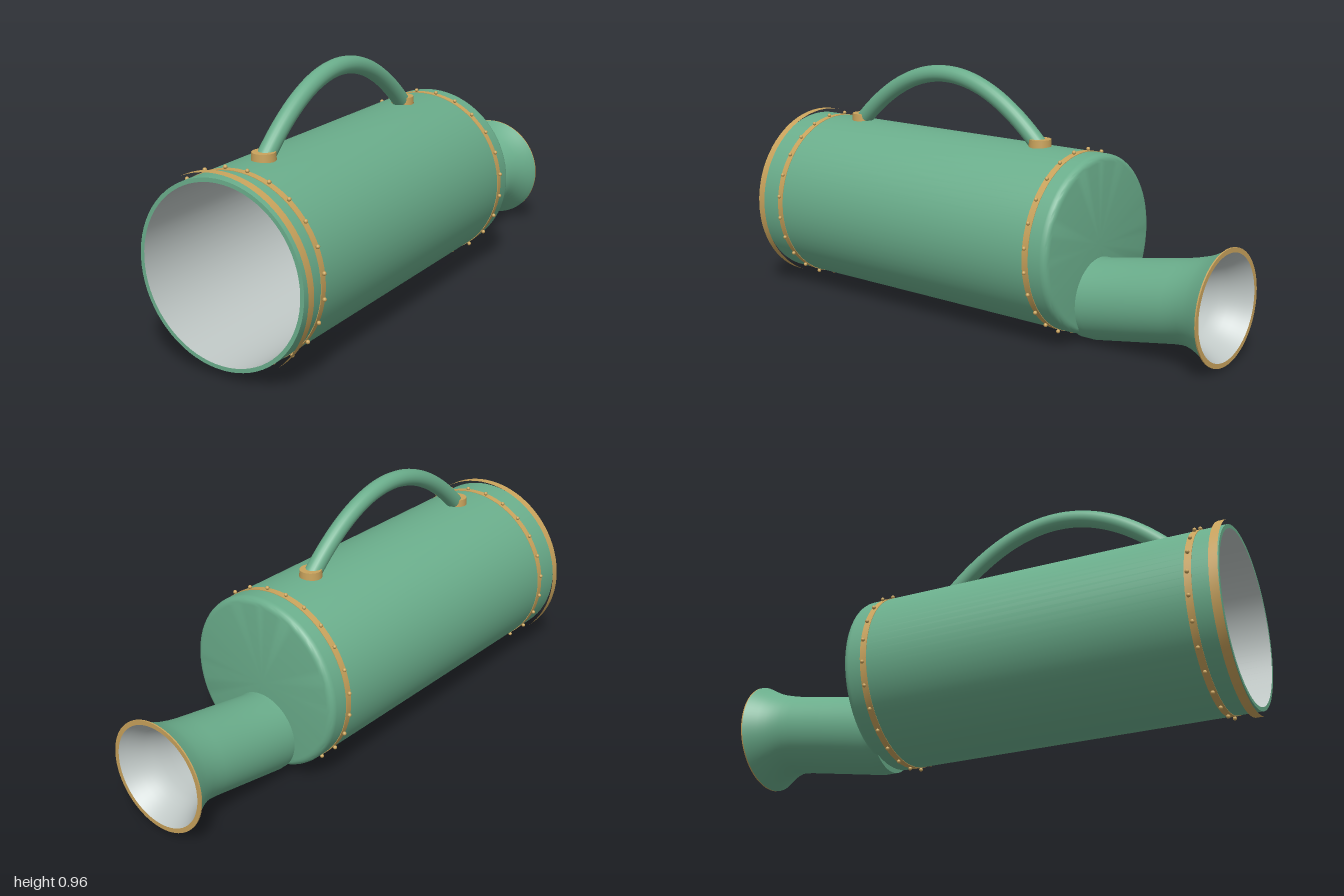
import * as THREE from 'three';
import { toCreasedNormals } from 'three/addons/utils/BufferGeometryUtils.js';

const green = new THREE.MeshStandardMaterial({ name: 'greenEnamel', color: 0x6aad8b });
const brass = new THREE.MeshStandardMaterial({ name: 'brass', color: 0xc9a35c });
const lining = new THREE.MeshStandardMaterial({ name: 'greyLining', color: 0xc0c8c6 });

const AXIS_Y = 0.36; // height of the body axis
const BODY_R = 0.337;
const BACK = -0.465;

// Lathe around the z axis from [radius, z] pairs; lift(z) gives the axis height
function turned(profile, lift = () => AXIS_Y, segments = 72) {
  const geo = new THREE.LatheGeometry(profile.map(([r, z]) => new THREE.Vector2(r, z)), segments);
  geo.rotateX(Math.PI / 2);
  const p = geo.attributes.position;
  for (let i = 0; i < p.count; i++) p.setY(i, p.getY(i) + lift(p.getZ(i)));
  return toCreasedNormals(geo, 0.6);
}

function add(parent, name, geo, material) {
  const mesh = new THREE.Mesh(geo, material);
  mesh.name = name;
  parent.add(mesh);
  return mesh;
}

function buildBody(root) {
  const body = new THREE.Group();
  body.name = 'body';
  root.add(body);
  // Outer shell with a rounded back edge and a thin front lip
  const shell = [[0, BACK]];
  for (let i = 0; i <= 5; i++) {
    const a = (i / 5) * Math.PI / 2;
    shell.push([BODY_R - 0.027 + 0.027 * Math.sin(a), BACK + 0.027 - 0.027 * Math.cos(a)]);
  }
  shell.push([BODY_R, 0.998], [0.322, 0.998]);
  add(body, 'bodyShell', turned(shell), green);
  add(body, 'bodyLining', turned([[0.322, 0.998], [0.322, -0.445]]), lining);
  add(body, 'innerBackWall', turned([[0.322, -0.445], [0, -0.445]]), green);
  // Loose hoop around the open front
  add(body, 'frontHoop', turned([[0.355, 0.968], [0.355, 1]]), brass);
}

function buildRivetBand(root, z) {
  const band = new THREE.Group();
  band.name = 'rivetBand';
  root.add(band);
  const r = BODY_R + 0.002;
  add(band, 'bandStrip', turned([[BODY_R, z - 0.013], [r, z - 0.013], [r, z + 0.013], [BODY_R, z + 0.013]]), brass);
  const head = new THREE.SphereGeometry(0.0075, 12, 8);
  for (let i = 0; i < 24; i++) {
    const a = ((i + 0.5) / 24) * Math.PI * 2;
    add(band, 'rivet', head, brass).position.set(0.345 * Math.sin(a), AXIS_Y + 0.345 * Math.cos(a), z);
  }
}

function buildSpout(root) {
  const spout = new THREE.Group();
  spout.name = 'spout';
  root.add(spout);
  // The axis rises gently, then levels out at the flare
  const lift = z => 0.157 + 0.068 * THREE.MathUtils.clamp((-0.49 - z) / 0.39, 0, 1);
  const flare = [
    [0.213, -1], [0.198, -0.975], [0.183, -0.948], [0.171, -0.92], [0.162, -0.89],
    [0.157, -0.86], [0.155, -0.82], [0.155, -0.68], [0.155, -0.49], [0.155, -0.436],
  ];
  add(spout, 'spoutShell', turned([...flare, [0, -0.436]], lift), green);
  const inside = flare.map(([r, z]) => [r - 0.015, z]).reverse();
  add(spout, 'spoutLining', turned(inside, lift), lining);
  add(spout, 'spoutRim', turned([[0.196, -1], [0.214, -1], [0.214, -0.995]], lift), brass);
}

function buildHandle(root) {
  const handle = new THREE.Group();
  handle.name = 'handle';
  root.add(handle);
  const arc = new THREE.QuadraticBezierCurve3(
    new THREE.Vector3(0, 0.685, 0.745),
    new THREE.Vector3(0, 1.171, 0.275),
    new THREE.Vector3(0, 0.685, -0.195),
  );
  add(handle, 'handleTube', new THREE.TubeGeometry(arc, 48, 0.033, 20), green);
  // Brass collars where the handle meets the body
  for (const z of [0.737, -0.187]) {
    add(handle, 'handleCollar', new THREE.CylinderGeometry(0.042, 0.044, 0.035, 32), brass).position.set(0, 0.706, z);
  }
}

export function createModel() {
  const root = new THREE.Group();
  root.name = 'flaredCanister';
  buildBody(root);
  for (const z of [0.89, -0.375]) buildRivetBand(root, z);
  buildSpout(root);
  buildHandle(root);
  return root;
}
